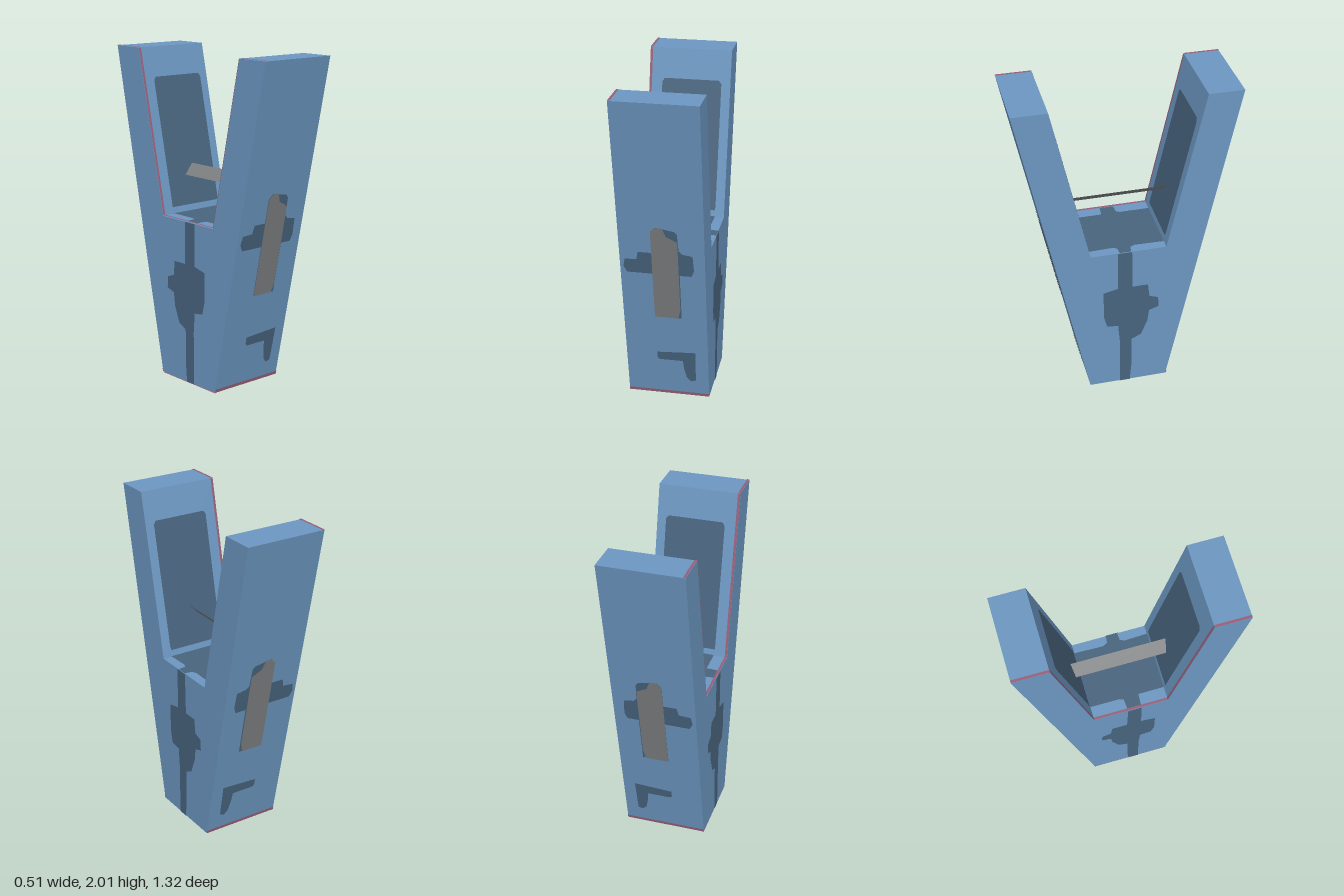
import * as THREE from 'three';

const material = (name, color) => new THREE.MeshStandardMaterial({ name, color, side: THREE.DoubleSide });

const HALF = 0.25;                      // half width along x
const OUT = 0.2075, IN = 0.22;          // lean of the outer and inner arm faces
const outerZ = y => 0.245 + OUT * y;
const innerZ = y => 0.23 + IN * (y - 1);
const rect = (x0, y0, x1, y1) => [[x0, y0], [x1, y0], [x1, y1], [x0, y1]];

const toShape = pts => new THREE.Shape(pts.map(p => new THREE.Vector2(...p)));

// Flat patch: outline points are placed on a face and lifted along its outward direction
function patch(name, pts, mat, place, out, lift = 0.003) {
  const geo = new THREE.ShapeGeometry(toShape(pts));
  const pos = geo.attributes.position;
  for (let i = 0; i < pos.count; i++) {
    const [x, y, z] = place(pos.getX(i), pos.getY(i));
    pos.setXYZ(i, x, y, z);
  }
  geo.computeVertexNormals();
  const n = geo.attributes.normal;
  const dir = new THREE.Vector3(...out).normalize();
  if (new THREE.Vector3().fromBufferAttribute(n, 0).dot(dir) < 0) {
    geo.index.array.reverse();
    geo.computeVertexNormals();
  }
  geo.translate(dir.x * lift, dir.y * lift, dir.z * lift);
  const mesh = new THREE.Mesh(geo, mat);
  mesh.name = name;
  return mesh;
}

export function createModel() {
  const blue = material('blue', 0x6c97c1);
  const dark = material('darkBlue', 0x48647e);
  const grey = material('grey', 0x7d7f80);
  const red = material('red', 0x985f78);
  const model = new THREE.Group();
  model.name = 'forkedBlock';

  // Forked body, drawn side-on and extruded across x
  const profile = [[-0.245, 0], [0.245, 0], [0.66, 2], [0.45, 2], [0.23, 1], [-0.23, 1], [-0.45, 2], [-0.66, 2]];
  const bodyGeo = new THREE.ExtrudeGeometry(toShape(profile), { depth: 2 * HALF, bevelEnabled: false });
  bodyGeo.translate(0, 0, -HALF).rotateY(-Math.PI / 2);
  const body = new THREE.Mesh(bodyGeo, blue);
  body.name = 'body';
  model.add(body);

  // Outlines on the outer faces (x, y)
  const cross = [
    [-0.23, 0.94], [-0.21, 0.9], [-0.06, 0.9], [-0.06, 0.59], [0.1, 0.59], [0.1, 0.9], [0.17, 0.9], [0.185, 0.94],
    [0.18, 1.04], [0.12, 1.05], [0.1, 1.07], [0.095, 1.18], [0.08, 1.2], [-0.03, 1.22], [-0.06, 1.19],
    [-0.06, 1.045], [-0.14, 1.045], [-0.15, 0.995], [-0.22, 0.99]];
  const plate = [[-0.06, 0.59], [0.08, 0.59], [0.095, 0.65], [0.095, 1.13], [0.06, 1.15], [0.03, 1.165],
    [0.01, 1.22], [-0.03, 1.22], [-0.06, 1.19]];
  const hook = [[-0.06, 0.28], [-0.05, 0.265], [0.095, 0.265], [0.1, 0.21], [0.115, 0.14], [0.14, 0.11],
    [0.17, 0.12], [0.175, 0.335], [0.09, 0.33], [-0.06, 0.32]];
  // Panel on the inner arm faces (x, y)
  const panel = [[-0.17, 1.04], [0.19, 1.04], [0.195, 1.06], [0.195, 1.8], [0.18, 1.82], [-0.155, 1.82], [-0.17, 1.8]];

  for (const s of [1, -1]) {
    const side = s > 0 ? 'front' : 'back';
    const onOuter = (x, y) => [x, y, s * outerZ(y)];
    const onInner = (x, y) => [x, y, s * innerZ(y)];
    const outDir = [0, -OUT, s], inDir = [0, IN, -s];
    model.add(
      patch(side + 'Cross', cross, dark, onOuter, outDir),
      patch(side + 'Plate', plate, grey, onOuter, outDir, 0.006),
      patch(side + 'Hook', hook, dark, onOuter, outDir),
      patch(side + 'BottomTrim', rect(-HALF, 0, HALF, 0.02), red, onOuter, outDir),
      patch(side + 'InnerPanel', panel, dark, onInner, inDir),
      patch(side + 'InnerTrim', rect(-HALF, 1, -0.235, 2), red, onInner, inDir),
      patch(side + 'TopTrim', rect(-HALF, 0.45, -0.235, 0.66), red, (x, z) => [x, 2, s * z], [0, 1, 0]));
  }

  // Stain running up both narrow sides (z, y)
  const stain = [
    [0.055, 0], [0.055, 0.33], [0.065, 0.45], [0.135, 0.46], [0.155, 0.54], [0.155, 0.72], [0.065, 0.74], [0.065, 1],
    [-0.02, 1], [-0.025, 0.74], [-0.12, 0.74], [-0.13, 0.65], [-0.185, 0.63], [-0.19, 0.56], [-0.13, 0.54],
    [-0.12, 0.46], [-0.1, 0.41], [-0.08, 0.36], [-0.02, 0.33], [-0.02, 0.12], [-0.01, 0]];
  for (const s of [1, -1]) {
    model.add(patch(s > 0 ? 'leftStain' : 'rightStain', stain, dark, (z, y) => [s * HALF, y, z], [s, 0, 0]));
  }

  // Floor of the fork, with wings meeting the side stains (x, z)
  const floor = [
    [-0.165, -0.23], [0.195, -0.23], [0.19, -0.05], [0.205, -0.02], [0.25, -0.015], [0.25, 0.055], [0.2, 0.06],
    [0.19, 0.09], [0.195, 0.23], [-0.165, 0.23], [-0.165, 0.07], [-0.235, 0.065], [-0.235, -0.02],
    [-0.175, -0.025], [-0.165, -0.05]];
  const onFloor = (x, z) => [x, 1, z];
  const onBase = (x, z) => [x, 0, z];
  model.add(
    patch('floorPanel', floor, dark, onFloor, [0, 1, 0]),
    patch('floorTrim', rect(-HALF, -0.23, -0.235, 0.23), red, onFloor, [0, 1, 0], 0.005),
    patch('baseStripe', rect(-HALF, -0.015, HALF, 0.055), dark, onBase, [0, -1, 0]),
    patch('baseTrim', rect(-HALF, -0.245, -0.235, 0.245), red, onBase, [0, -1, 0], 0.005));

  // Tilted flat strip spanning the gap between the arms
  const onStrip = (t, v) => [-0.035 + 0.065 * t, 1.22 + 0.065 * t, v * innerZ(1.22 + 0.065 * t)];
  model.add(patch('crossStrip', rect(0, -1, 1, 1), grey, onStrip, [-1, 1, 0], 0));

  return model;
}
